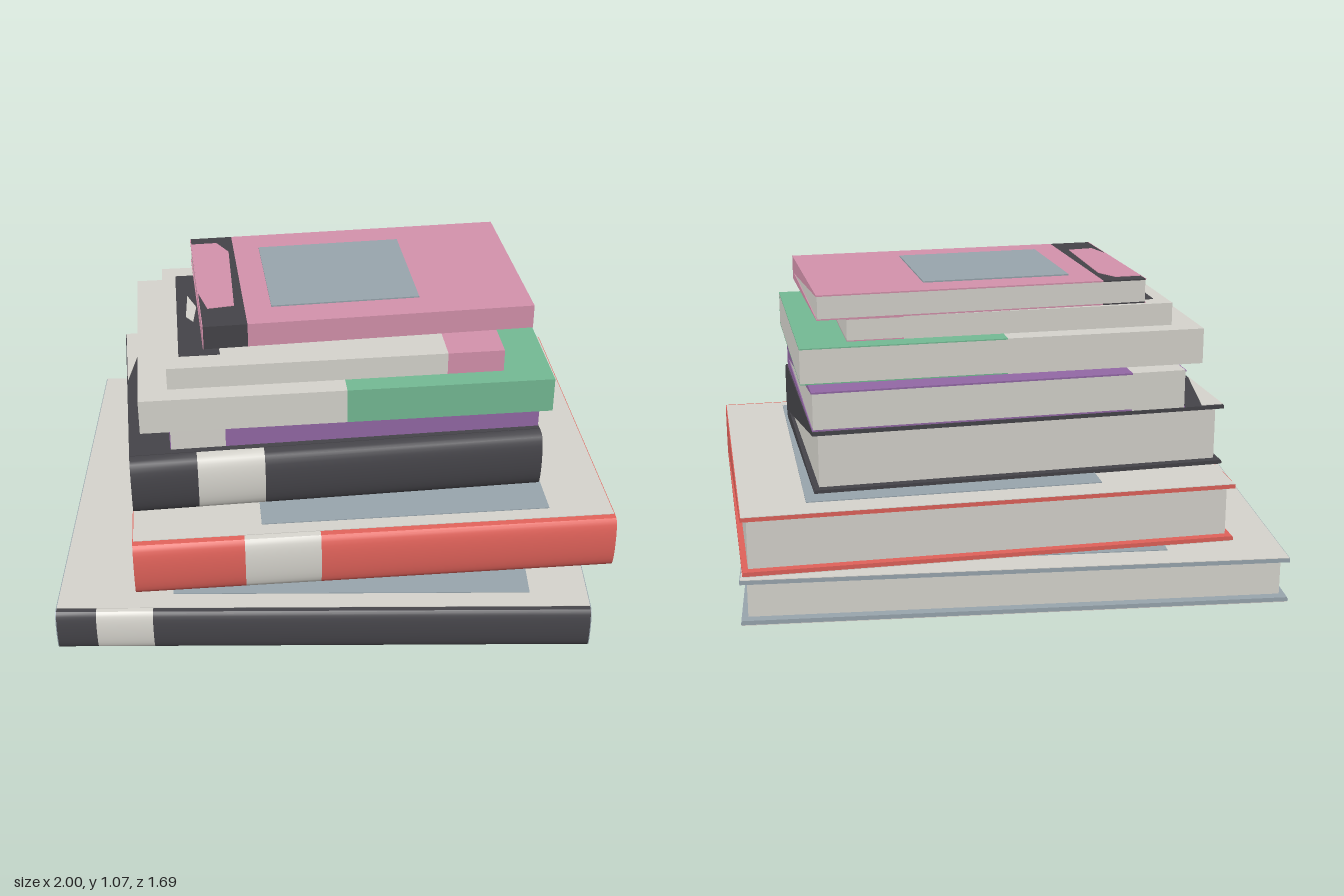
import * as THREE from 'three';
import { toCreasedNormals } from 'three/addons/utils/BufferGeometryUtils.js';

export function createModel() {
  const root = new THREE.Group();
  root.name = 'bookStack';
  const mat = (name, color) => {
    const m = new THREE.MeshStandardMaterial({ color });
    m.name = name;
    return m;
  };
  const white = mat('paperWhite', 0xd6d4cd), black = mat('charcoal', 0x454449);
  const red = mat('red', 0xe0625a), blue = mat('greyBlue', 0x98a5ad);
  const purple = mat('purple', 0x9368a5), green = mat('green', 0x74ba94);
  const pink = mat('pink', 0xd492ac);

  const add = (parent, name, geo, material) => {
    const m = new THREE.Mesh(geo, material);
    m.name = name;
    parent.add(m);
    return m;
  };
  // Box given by its limits on each axis
  const box = (parent, name, material, x0, x1, y0, y1, z0, z1) => {
    const g = new THREE.BoxGeometry(x1 - x0, y1 - y0, z1 - z0);
    g.translate((x0 + x1) / 2, (y0 + y1) / 2, (z0 + z1) / 2);
    return add(parent, name, g, material);
  };
  // Side profile of [z, y] points, extruded along x
  const profile = (parent, name, material, pts, x0, x1) => {
    const shape = new THREE.Shape(pts.map(([z, y]) => new THREE.Vector2(-z, y)));
    const g = new THREE.ExtrudeGeometry(shape, { depth: x1 - x0, bevelEnabled: false });
    g.rotateY(Math.PI / 2).translate(x0, 0, 0);
    return add(parent, name, toCreasedNormals(g, 0.6), material);
  };
  // Flat polygon of [x, z] points lying at height y
  const plate = (parent, name, material, pts, y) => {
    const shape = new THREE.Shape(pts.map(([x, z]) => new THREE.Vector2(x, -z)));
    const g = new THREE.ExtrudeGeometry(shape, { depth: 0.002, bevelEnabled: false });
    g.rotateX(-Math.PI / 2).translate(0, y, 0);
    return add(parent, name, g, material);
  };

  // One book, spine towards +z; bands are [start x, material] along the spine
  function book({ name, at, turn, y, size, bulge = 0, t, inset = 0, bands, board, top, cap, wedge, patch }) {
    const b = new THREE.Group();
    b.name = name;
    b.position.set(at[0], 0, at[1]);
    b.rotation.y = turn;
    root.add(b);
    const [y0, y1] = y, hx = size[0] / 2, hz = size[1] / 2, zs = hz - bulge;

    // Outer curve of the spine, from top to bottom
    const curve = [];
    const n = bulge ? 14 : 1;
    for (let i = 0; i <= n; i++) {
      const a = Math.PI * (0.5 - i / n);
      curve.push([zs + bulge * Math.sqrt(Math.max(0, Math.cos(a))), (y0 + y1) / 2 + (y1 - y0) / 2 * Math.sin(a)]);
    }
    bands.forEach(([start, m], i) => {
      const x1 = i + 1 < bands.length ? bands[i + 1][0] : hx;
      profile(b, 'spine', m, [...curve, [zs - t, y0], [zs - t, y1]], start, x1);
      if (!board) {
        box(b, 'topCover', m, start, x1, y1 - t, y1, -hz, zs - t);
        box(b, 'bottomCover', m, start, x1, y0, y0 + t, -hz, zs - t);
      }
    });
    // Hard boards with a thin printed sheet
    if (board) {
      box(b, 'topBoard', board, -hx, hx, y1 - t, y1, -hz, zs - t);
      box(b, 'bottomBoard', board, -hx, hx, y0, y0 + t, -hz, zs - t);
      box(b, 'topSheet', top, -hx, hx, y1, y1 + 0.002, -hz, zs);
      box(b, 'bottomSheet', top, -hx, hx, y0 - 0.002, y0, -hz, zs - t);
    }
    box(b, 'pages', white, -hx + inset, hx - inset, y0 + t, y1 - t, -hz + inset * 1.7, zs - t);
    // Wedge-shaped cover ends
    if (cap) {
      const pts = [...curve, [-hz, y0], [-hz, y0 + t * 0.6], wedge, [-hz, y1 - t]];
      pts.push([-hz, y1]);
      for (const x of [-hx - 0.003, hx]) profile(b, 'coverEnd', cap, pts, x, x + 0.003);
    }
    // Printed panel on the top cover
    if (patch) {
      const [cx, w, d] = patch;
      box(b, 'coverPanel', blue, cx - w / 2, cx + w / 2, y1, y1 + 0.005, -d / 2, d / 2);
    }
    return b;
  }

  book({
    name: 'bottomBook', at: [-0.025, -0.005], turn: -0.0425, y: [0.002, 0.163], size: [1.88, 1.61],
    bulge: 0.035, t: 0.015, inset: 0.02, board: blue, top: white, cap: blue, wedge: [0.77, 0.045],
    bands: [[-0.94, black], [-0.8, white], [-0.6, black]], patch: [0.1, 1.27, 1.39],
  });
  book({
    name: 'redBook', at: [0.11, -0.035], turn: 0.0465, y: [0.168, 0.378], size: [1.72, 1.35],
    bulge: 0.045, t: 0.015, inset: 0.018, board: red, top: white, cap: red, wedge: [0.6, 0.2],
    bands: [[-0.86, red], [-0.47, white], [-0.2, red]], patch: [0.115, 1.04, 1.15],
  });
  const dark = book({
    name: 'blackBook', at: [-0.02, -0.035], turn: 0.074, y: [0.383, 0.603], size: [1.48, 0.95],
    bulge: 0.06, t: 0.012, inset: 0.018, board: black, top: black, cap: black, wedge: [0.35, 0.43],
    bands: [[-0.74, black], [-0.505, white], [-0.265, black]],
  });
  plate(dark, 'coverCorner', white, [[-0.74, -0.47], [-0.66, -0.47], [-0.74, -0.1]], 0.606);
  book({
    name: 'purpleBook', at: [0.05, -0.08], turn: 0.07, y: [0.606, 0.745], size: [1.33, 0.87],
    t: 0.006, cap: purple, wedge: [0.415, 0.645],
    bands: [[-0.665, white], [-0.47, purple]],
  });
  book({
    name: 'greenBook', at: [0.02, 0.02], turn: 0.055, y: [0.746, 0.875], size: [1.45, 0.9],
    t: 0.004, bands: [[-0.725, white], [-0.005, green]],
  });
  const thin = book({
    name: 'thinWhiteBook', at: [-0.015, 0.02], turn: 0.06, y: [0.876, 0.958], size: [1.18, 0.76],
    t: 0.004, bands: [[-0.59, white], [0.39, pink]],
  });
  // Dark printed strip with a pale sliver
  plate(thin, 'coverStrip', black, [[-0.54, -0.31], [-0.45, -0.31], [-0.4, 0.3], [-0.545, 0.3]], 0.958);
  plate(thin, 'coverSliver', white, [[-0.5, -0.14], [-0.47, -0.05], [-0.485, 0.06], [-0.51, 0.02]], 0.961);
  const pinkBook = book({
    name: 'pinkBook', at: [0.1, -0.07], turn: 0.085, y: [0.972, 1.06], size: [1.17, 0.7],
    t: 0.005, cap: pink, wedge: [0.31, 1.0],
    bands: [[-0.585, black], [-0.43, pink]], patch: [-0.07, 0.53, 0.47],
  });
  plate(pinkBook, 'coverLabel', pink, [[-0.585, -0.3], [-0.49, -0.3], [-0.45, -0.22], [-0.465, 0.21], [-0.56, 0.22], [-0.585, 0.1]], 1.06);
  return root;
}
